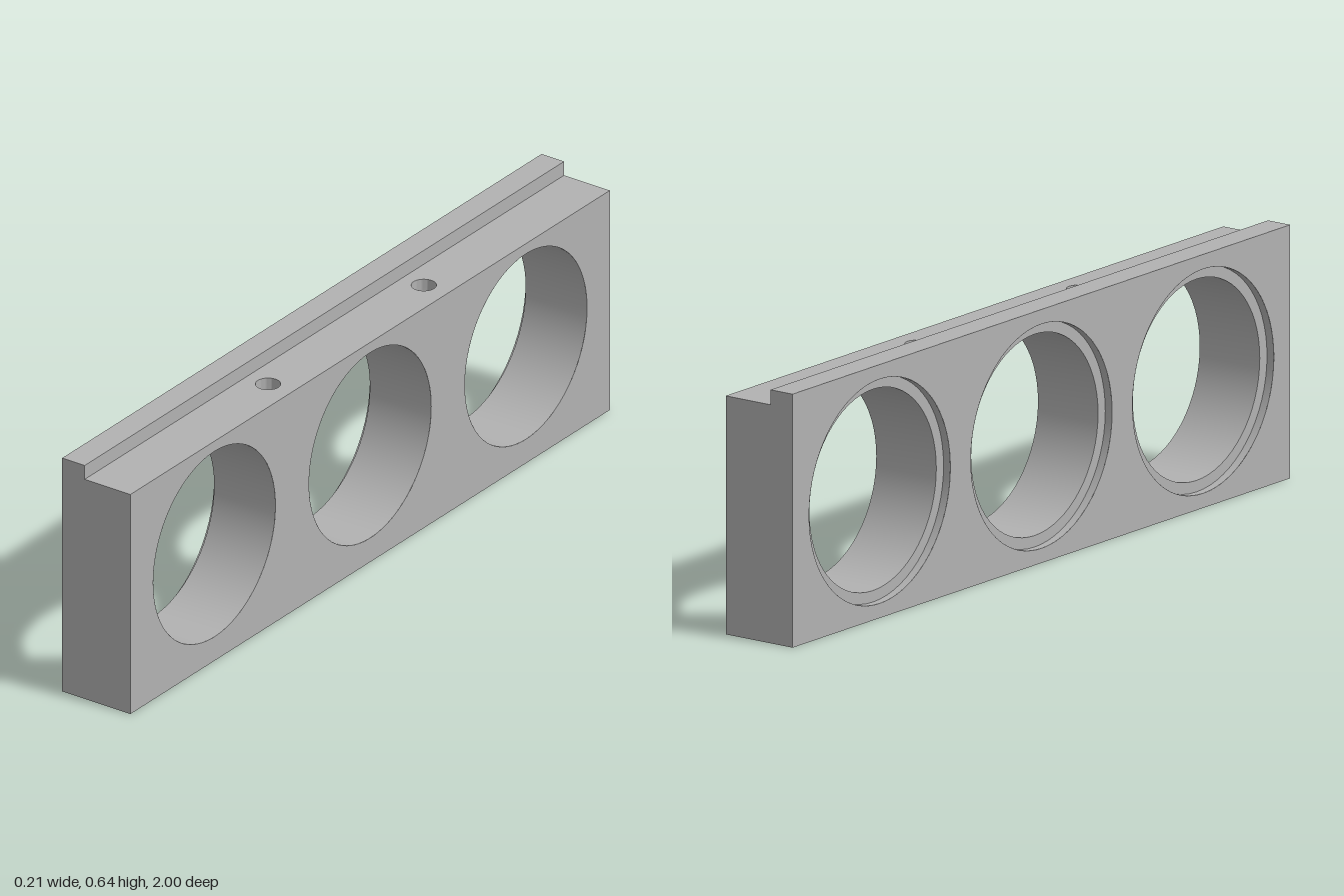
import * as THREE from 'three';
import { toCreasedNormals } from 'three/addons/utils/BufferGeometryUtils.js';

// Overall sizes
const HX = 0.103, HZ = 1, LEDGE = 0.604, TOP = 0.642, STEP = -0.035;
// Large bores with a shallow counterbore on the -x face
const BORE = { r: 0.255, y: 0.321, z: [-0.65, 0, 0.65], recessR: 0.284, recess: 0.021 };
// Small blind holes in the ledge
const PIN = { r: 0.031, x: 0.03, z: [-0.325, 0.325], depth: 0.15 };
const SEG = 64;

// Flat polygon in XY facing +z, with round holes given as [x, y, radius]
function plate(points, holes = []) {
  const shape = new THREE.Shape(points.map(([x, y]) => new THREE.Vector2(x, y)));
  for (const [x, y, r] of holes) {
    shape.holes.push(new THREE.Path().absarc(x, y, r, 0, Math.PI * 2, true));
  }
  return new THREE.ShapeGeometry(shape, SEG);
}

const rect = (x0, y0, x1, y1) => [[x0, y0], [x1, y0], [x1, y1], [x0, y1]];

// Sharp-edged surface of revolution; a falling profile faces inward
function holeWall(profile) {
  const points = profile.map(([r, h]) => new THREE.Vector2(r, h));
  return toCreasedNormals(new THREE.LatheGeometry(points, SEG), 0.6);
}

export function createModel() {
  const model = new THREE.Group();
  const grey = new THREE.MeshStandardMaterial({ color: 0xb2b2b2, side: THREE.DoubleSide });
  grey.name = 'grey';

  const add = (name, geometry, x = 0, y = 0, z = 0) => {
    const mesh = new THREE.Mesh(geometry, grey);
    mesh.name = name;
    mesh.position.set(x, y, z);
    model.add(mesh);
  };

  // Long side faces, pierced by the bores
  const bores = (r) => BORE.z.map((z) => [z, BORE.y, r]);
  add('leftFace', plate(rect(-HZ, 0, HZ, LEDGE), bores(BORE.r)).rotateY(Math.PI / 2), HX);
  add('rightFace', plate(rect(-HZ, 0, HZ, TOP), bores(BORE.recessR)).rotateY(-Math.PI / 2), -HX);

  // Stepped top and flat underside
  const pins = PIN.z.map((z) => [PIN.x, z, PIN.r]);
  add('ledge', plate(rect(STEP, -HZ, HX, HZ), pins).rotateX(-Math.PI / 2), 0, LEDGE);
  add('ridgeTop', plate(rect(-HX, -HZ, STEP, HZ)).rotateX(-Math.PI / 2), 0, TOP);
  add('ridgeSide', plate(rect(-HZ, LEDGE, HZ, TOP)).rotateY(Math.PI / 2), STEP);
  add('underside', plate(rect(-HX, -HZ, HX, HZ)).rotateX(Math.PI / 2));

  // Stepped end faces
  const profile = [[-HX, 0], [HX, 0], [HX, LEDGE], [STEP, LEDGE], [STEP, TOP], [-HX, TOP]];
  add('frontEnd', plate(profile), 0, 0, HZ);
  add('backEnd', plate(profile.map(([x, y]) => [-x, y])).rotateY(Math.PI), 0, 0, -HZ);

  // Bore walls with the counterbore shoulder
  const shoulder = -HX + BORE.recess;
  const boreProfile = [[BORE.r, HX], [BORE.r, shoulder], [BORE.recessR, shoulder], [BORE.recessR, -HX]];
  for (const z of BORE.z) {
    add('boreWall', holeWall(boreProfile).rotateZ(-Math.PI / 2), 0, BORE.y, z);
  }

  // Blind pin holes
  for (const z of PIN.z) {
    add('pinHole', holeWall([[PIN.r, 0], [PIN.r, -PIN.depth], [0, -PIN.depth]]), PIN.x, LEDGE, z);
  }
  return model;
}
